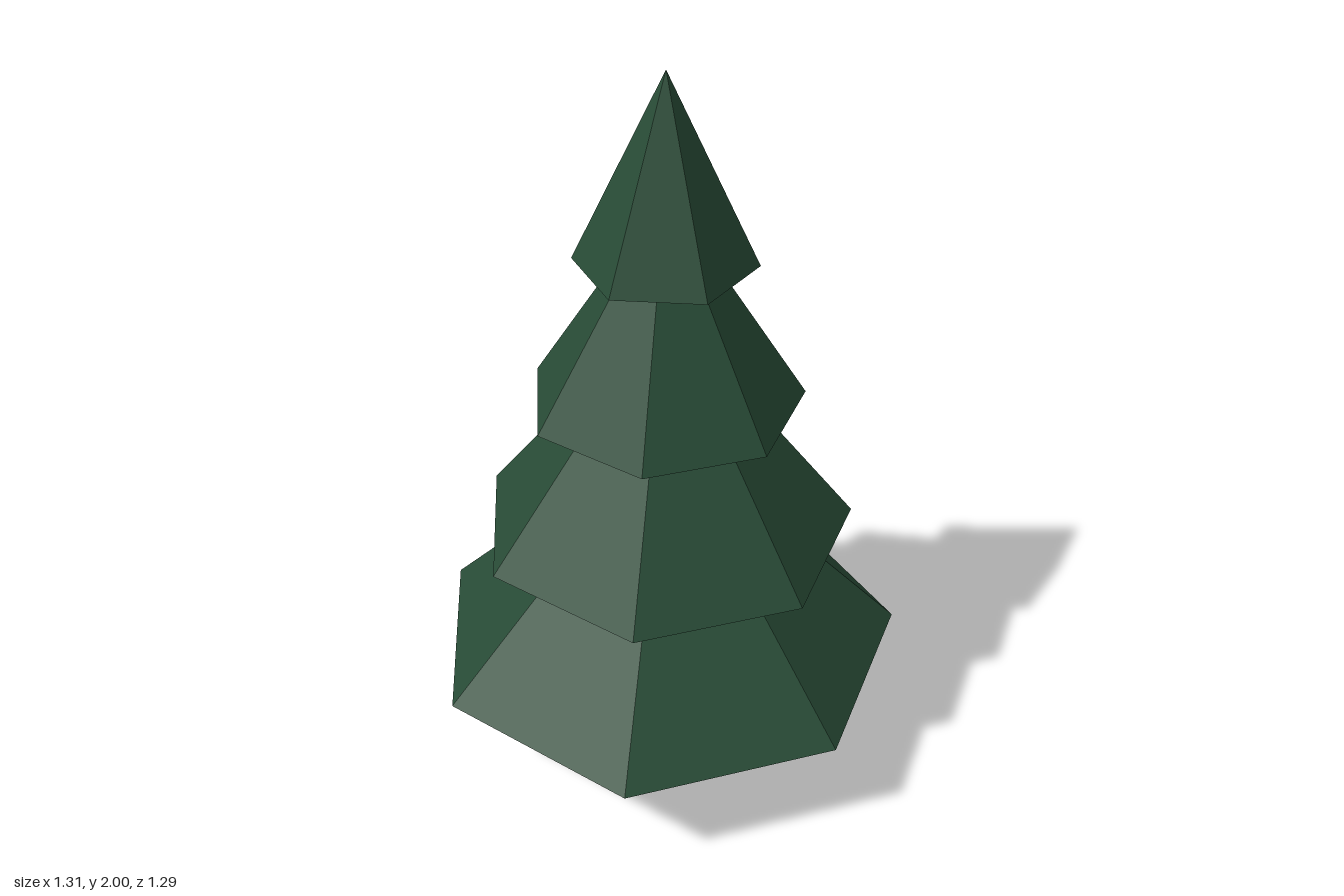
import * as THREE from 'three';

const CX = 0.005, CZ = 0.023; // trunk axis

export function createModel() {
  const needles = new THREE.MeshStandardMaterial({ color: 0x284b36, flatShading: true });
  needles.name = 'needle green';
  const bark = new THREE.MeshStandardMaterial({ color: 0x5a4030, flatShading: true });
  bark.name = 'bark brown';

  const tree = new THREE.Group();
  tree.name = 'pineTree';

  function add(name, geometry, material, y) {
    const mesh = new THREE.Mesh(geometry, material);
    mesh.name = name;
    mesh.position.set(CX, y, CZ);
    tree.add(mesh);
  }

  // Tapered six-sided trunk, running up inside the lowest branches
  const trunk = new THREE.CylinderGeometry(0.075, 0.089, 0.24, 6, 1, false, 0.105);
  add('trunk', trunk, bark, 0.12);

  // Branch tiers: a steep cone above the rim and a shallow inverted cone below
  const tiers = [
    { name: 'bottomBranches', radius: 0.673, rim: 0.30, tip: 0.99, drop: 0.125, sides: 7, turn: 0.412 },
    { name: 'lowerBranches', radius: 0.523, rim: 0.70, tip: 1.37, drop: 0.11, sides: 7, turn: 0.412 },
    { name: 'upperBranches', radius: 0.373, rim: 1.10, tip: 1.69, drop: 0.11, sides: 7, turn: 0.412 },
    { name: 'topBranches', radius: 0.237, rim: 1.50, tip: 2.00, drop: 0.105, sides: 6, turn: 0.105 },
  ];
  for (const { name, radius, rim, tip, drop, sides, turn } of tiers) {
    const profile = [
      new THREE.Vector2(0, -drop),
      new THREE.Vector2(radius, 0),
      new THREE.Vector2(0, tip - rim),
    ];
    const geometry = new THREE.LatheGeometry(profile, sides, turn);
    add(name, geometry, needles, rim);
  }
  return tree;
}
